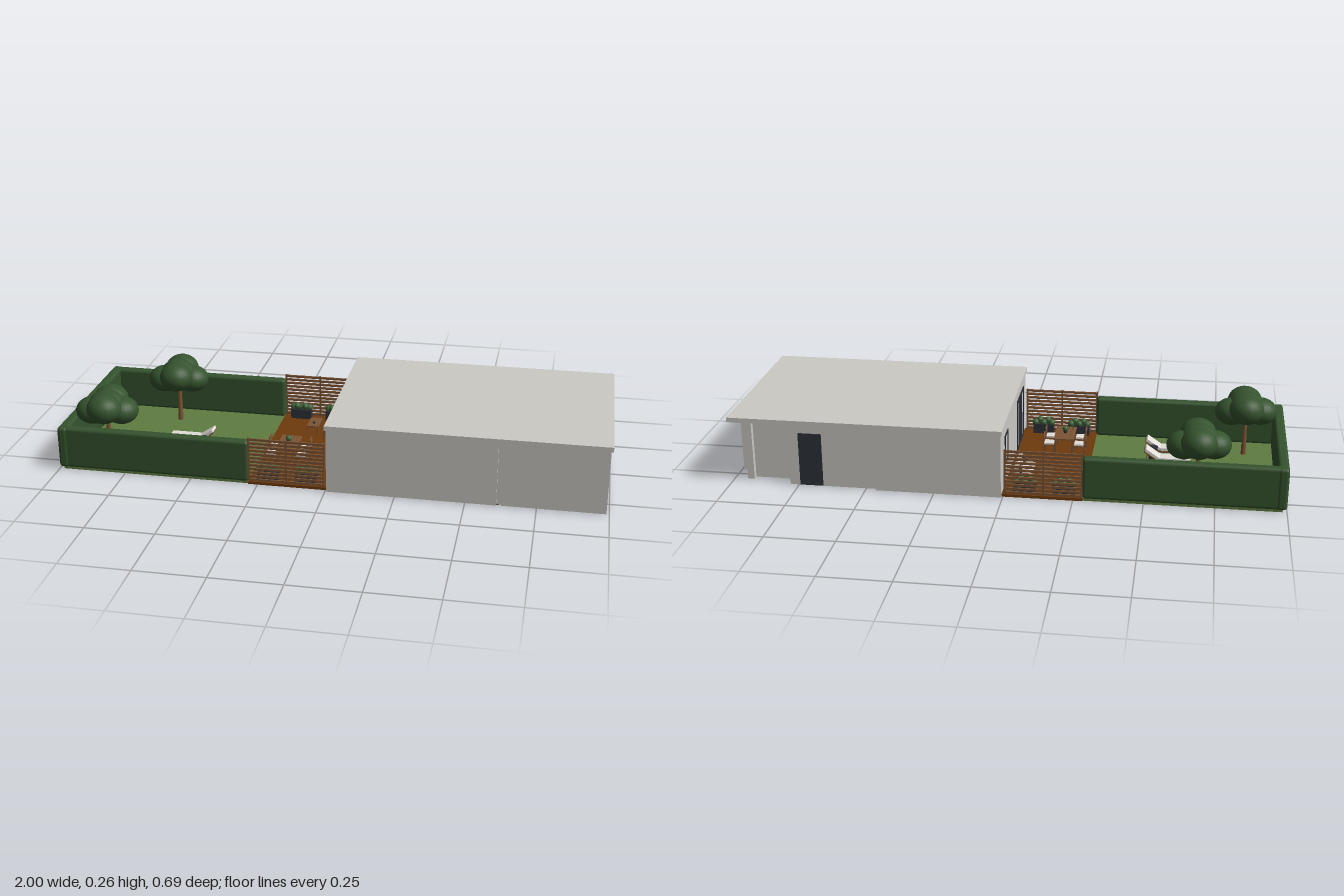
import * as THREE from 'three';
import { RoundedBoxGeometry } from 'three/addons/geometries/RoundedBoxGeometry.js';

function mat(name, color) {
  const m = new THREE.MeshStandardMaterial({ color });
  m.name = name;
  return m;
}

export function createModel() {
  const wall = mat('wall grey', 0xcccac5), lawnM = mat('lawn green', 0x5f7c41);
  const hedgeM = mat('hedge green', 0x35532e), deckM = mat('deck brown', 0x6e3a0d);
  const wood = mat('wood', 0x7d5535), dark = mat('dark grey', 0x2d323a);
  const cushion = mat('cushion white', 0xe2dfda), floorM = mat('floor brown', 0x7f6046);
  const tile = mat('tile grey', 0x8c8c8c), leaf = mat('leaf green', 0x3f6338);

  const root = new THREE.Group();
  root.name = 'houseWithGarden';
  const group = (name, x = 0, y = 0, z = 0, parent = root) => {
    const g = new THREE.Group();
    g.name = name;
    g.position.set(x, y, z);
    parent.add(g);
    return g;
  };
  const add = (parent, name, geo, m, x = 0, y = 0, z = 0) => {
    const mesh = new THREE.Mesh(geo, m);
    mesh.name = name;
    mesh.position.set(x, y, z);
    parent.add(mesh);
    return mesh;
  };
  // box given by its limits on each axis
  const span = (parent, name, m, x0, x1, y0, y1, z0, z1) =>
    add(parent, name, new THREE.BoxGeometry(x1 - x0, y1 - y0, z1 - z0), m,
      (x0 + x1) / 2, (y0 + y1) / 2, (z0 + z1) / 2);
  const ball = (parent, name, m, r, x, y, z, sy = 1) => {
    const b = add(parent, name, new THREE.SphereGeometry(r, 20, 14), m, x, y, z);
    b.scale.y = sy;
    return b;
  };

  // House walls: stepped footprint with a shallow groove at the front
  const house = group('house');
  const plan = [[0.005, 0.337], [0.61, 0.337], [0.61, 0.325], [0.625, 0.325], [0.625, 0.335],
    [0.99, 0.335], [0.99, -0.218], [0.95, -0.218], [0.95, -0.295], [0.925, -0.295],
    [0.925, -0.275], [0.78, -0.275], [0.78, -0.323], [0.46, -0.323], [0.46, -0.335], [0.005, -0.335]];
  const outline = new THREE.Shape(plan.map(([x, z]) => new THREE.Vector2(x, -z)));
  const wallGeo = new THREE.ExtrudeGeometry(outline, { depth: 0.241, bevelEnabled: false });
  wallGeo.rotateX(-Math.PI / 2);
  add(house, 'walls', wallGeo, wall, 0, 0.003, 0);
  span(house, 'roof', wall, 0, 0.997, 0.243, 0.26, -0.347, 0.345);

  // Room floors on the underside, parted by the wall lines
  const rooms = [[0.02, 0.40, -0.325, -0.06, floorM], [0.41, 0.62, -0.315, -0.13, floorM],
    [0.02, 0.62, -0.05, 0.325, floorM], [0.41, 0.62, -0.12, -0.05, floorM],
    [0.63, 0.98, 0.005, 0.325, floorM], [0.63, 0.77, -0.12, -0.005, floorM],
    [0.63, 0.77, -0.315, -0.13, tile], [0.78, 0.98, -0.21, -0.005, tile]];
  for (const [x0, x1, z0, z1, m] of rooms) span(house, 'roomFloor', m, x0, x1, 0, 0.004, z0, z1);

  // Rectangular frame standing in the local xy plane
  const frame = (name, m, w, h, t, x, y, z, turn, bars = []) => {
    const g = group(name, x, y, z, house);
    g.rotation.y = turn;
    for (const s of [-1, 1]) {
      span(g, 'frameSide', m, s * (w - t) / 2 - t / 2, s * (w - t) / 2 + t / 2, 0, h, -0.003, 0.004);
      const by = s < 0 ? 0 : h - t;
      span(g, 'frameRail', m, -w / 2, w / 2, by, by + t, -0.003, 0.004);
    }
    for (const b of bars) span(g, 'frameBar', m, b - t / 2, b + t / 2, 0, h, -0.003, 0.004);
    return g;
  };
  frame('sideWindow', dark, 0.087, 0.12, 0.006, 0.99, 0.09, 0.078, Math.PI / 2);
  frame('patioWindow', dark, 0.07, 0.11, 0.005, 0.005, 0.09, -0.2, -Math.PI / 2);
  const slider = frame('patioDoor', dark, 0.18, 0.2, 0.008, 0.005, 0.01, 0.17, -Math.PI / 2, [0]);
  span(slider, 'patioDoorGlass', dark, -0.045, 0.045, 0, 0.2, -0.002, 0.002);
  const back = frame('backDoor', dark, 0.085, 0.2, 0.008, 0.70, 0.005, -0.323, Math.PI);
  span(back, 'backDoorLeaf', dark, -0.04, 0.04, 0, 0.2, -0.002, 0.002);

  // Ground
  span(root, 'lawn', lawnM, -0.985, -0.285, 0, 0.01, -0.315, 0.315);
  span(root, 'deck', deckM, -0.285, 0.005, 0, 0.01, -0.32, 0.32);

  // Hedges
  const hedge = (w, d, x, z) => add(root, 'hedge',
    new RoundedBoxGeometry(w, 0.157, d, 3, 0.012), hedgeM, x, 0.0865, z);
  for (const s of [-1, 1]) hedge(0.71, 0.038, -0.637, s * 0.302);
  hedge(0.038, 0.648, -0.981, 0);

  // Slatted fences, plants and planters on both sides of the deck
  for (const s of [-1, 1]) {
    const fence = group('fence', 0, 0, s * 0.314);
    for (let i = 0; i < 12; i++) {
      const y = 0.012 + i * 0.0143;
      span(fence, 'fenceSlat', wood, -0.283, -0.003, y, y + 0.0085, -0.003, 0.003);
    }
    for (const x of [-0.281, -0.144, -0.006]) span(fence, 'fencePost', wood, x - 0.003, x + 0.003, 0.01, 0.18, -0.004, 0.004);
    for (const x of [-0.215, -0.075]) {
      const planter = group('planter', x, 0.01, s * 0.289);
      span(planter, 'planterBox', dark, -0.04, 0.04, 0, 0.038, -0.015, 0.015);
      for (let i = 0; i < 5; i++)
        ball(planter, 'planterLeaves', leaf, 0.013, -0.032 + i * 0.016, 0.044 + (i % 2) * 0.007, (i % 2) * 0.01 - 0.005);
    }
  }

  // Trees: trunk under a cluster of flattened balls
  for (const [x, z] of [[-0.685, -0.185], [-0.855, 0.172]]) {
    const tree = group('tree', x, 0, z);
    add(tree, 'trunk', new THREE.CylinderGeometry(0.007, 0.01, 0.16, 10), wood, 0, 0.088, 0);
    ball(tree, 'foliage', hedgeM, 0.07, 0, 0.203, 0, 0.85);
    for (const [dx, dz] of [[0, -0.05], [0.005, 0.048]]) ball(tree, 'foliage', hedgeM, 0.065, dx, 0.209, dz, 0.85);
    for (const s of [-1, 1]) ball(tree, 'foliage', hedgeM, 0.063, s * 0.053, 0.185, -s * 0.008, 0.8);
  }

  const legs = (g, w, d, h, t = 0.004) => {
    for (const sx of [-1, 1]) for (const sz of [-1, 1])
      add(g, 'leg', new THREE.BoxGeometry(t, h, t), wood, sx * (w - t) / 2, h / 2, sz * (d - t) / 2);
  };

  // Sun loungers with a small table between
  for (const z of [0.028, 0.126]) {
    const l = group('lounger', -0.573, 0.01, z);
    legs(l, 0.165, 0.05, 0.02);
    span(l, 'loungerFrame', wood, -0.087, 0.05, 0.018, 0.024, -0.029, 0.029);
    span(l, 'loungerCushion', cushion, -0.085, 0.03, 0.024, 0.034, -0.025, 0.025);
    const rest = group('loungerBack', 0.034, 0.024, 0, l);
    rest.rotation.z = 0.6;
    span(rest, 'backFrame', wood, 0, 0.064, -0.004, 0, -0.028, 0.028);
    span(rest, 'backCushion', cushion, 0.002, 0.064, 0, 0.01, -0.025, 0.025);
  }
  add(root, 'sideTable', new THREE.CylinderGeometry(0.018, 0.015, 0.05, 20), dark, -0.515, 0.035, 0.078);

  // Dining table with slatted top and plant
  const table = group('diningTable', -0.178, 0.01, 0.115);
  legs(table, 0.07, 0.12, 0.068, 0.006);
  for (let i = 0; i < 5; i++) {
    const x = -0.038 + i * 0.0158;
    span(table, 'tableSlat', wood, x, x + 0.0128, 0.067, 0.072, -0.066, 0.066);
  }
  span(table, 'tableRail', wood, -0.036, 0.036, 0.062, 0.067, -0.05, 0.05);
  add(table, 'plantPot', new THREE.CylinderGeometry(0.008, 0.006, 0.01, 12), dark, 0, 0.077, 0);
  ball(table, 'plantLeaves', leaf, 0.011, 0, 0.089, 0);

  // Four chairs facing the table
  for (const s of [-1, 1]) for (const z of [0.08, 0.15]) {
    const c = group('chair', -0.178 + s * 0.058, 0.01, z);
    c.rotation.y = s > 0 ? 0 : Math.PI;
    legs(c, 0.04, 0.04, 0.04);
    span(c, 'chairSeat', wood, -0.02, 0.02, 0.038, 0.042, -0.021, 0.021);
    span(c, 'chairCushion', cushion, -0.019, 0.017, 0.042, 0.048, -0.019, 0.019);
    for (const y of [0.056, 0.07]) span(c, 'chairBackSlat', wood, 0.017, 0.021, y, y + 0.01, -0.021, 0.021);
    for (const q of [-1, 1]) span(c, 'chairPost', wood, 0.017, 0.021, 0.04, 0.08, q * 0.019 - 0.002, q * 0.019 + 0.002);
  }

  // Sofa and coffee table
  const sofa = group('sofa', -0.058, 0.01, -0.168);
  legs(sofa, 0.066, 0.144, 0.015);
  span(sofa, 'sofaBase', wood, -0.034, 0.034, 0.013, 0.022, -0.073, 0.073);
  span(sofa, 'sofaBack', wood, 0.03, 0.034, 0.022, 0.07, -0.073, 0.073);
  for (const s of [-1, 1]) {
    span(sofa, 'sofaArm', wood, -0.032, 0.032, 0.022, 0.05, s * 0.0715 - 0.0025, s * 0.0715 + 0.0025);
    add(sofa, 'seatCushion', new RoundedBoxGeometry(0.062, 0.02, 0.067, 2, 0.005), cushion, -0.001, 0.032, s * 0.0345);
    add(sofa, 'backCushion', new RoundedBoxGeometry(0.015, 0.034, 0.067, 2, 0.005), cushion, 0.022, 0.058, s * 0.0345);
    const pillow = add(sofa, 'pillow', new RoundedBoxGeometry(0.008, 0.026, 0.028, 2, 0.004), dark, 0.008, 0.055, s * 0.05);
    pillow.rotation.z = -0.25;
  }
  const coffee = group('coffeeTable', -0.138, 0.01, -0.17);
  legs(coffee, 0.042, 0.076, 0.032);
  span(coffee, 'coffeeTop', wood, -0.023, 0.023, 0.031, 0.036, -0.042, 0.042);
  add(coffee, 'bowl', new THREE.CylinderGeometry(0.006, 0.004, 0.005, 12), dark, 0, 0.0385, 0.012);

  return root;
}
